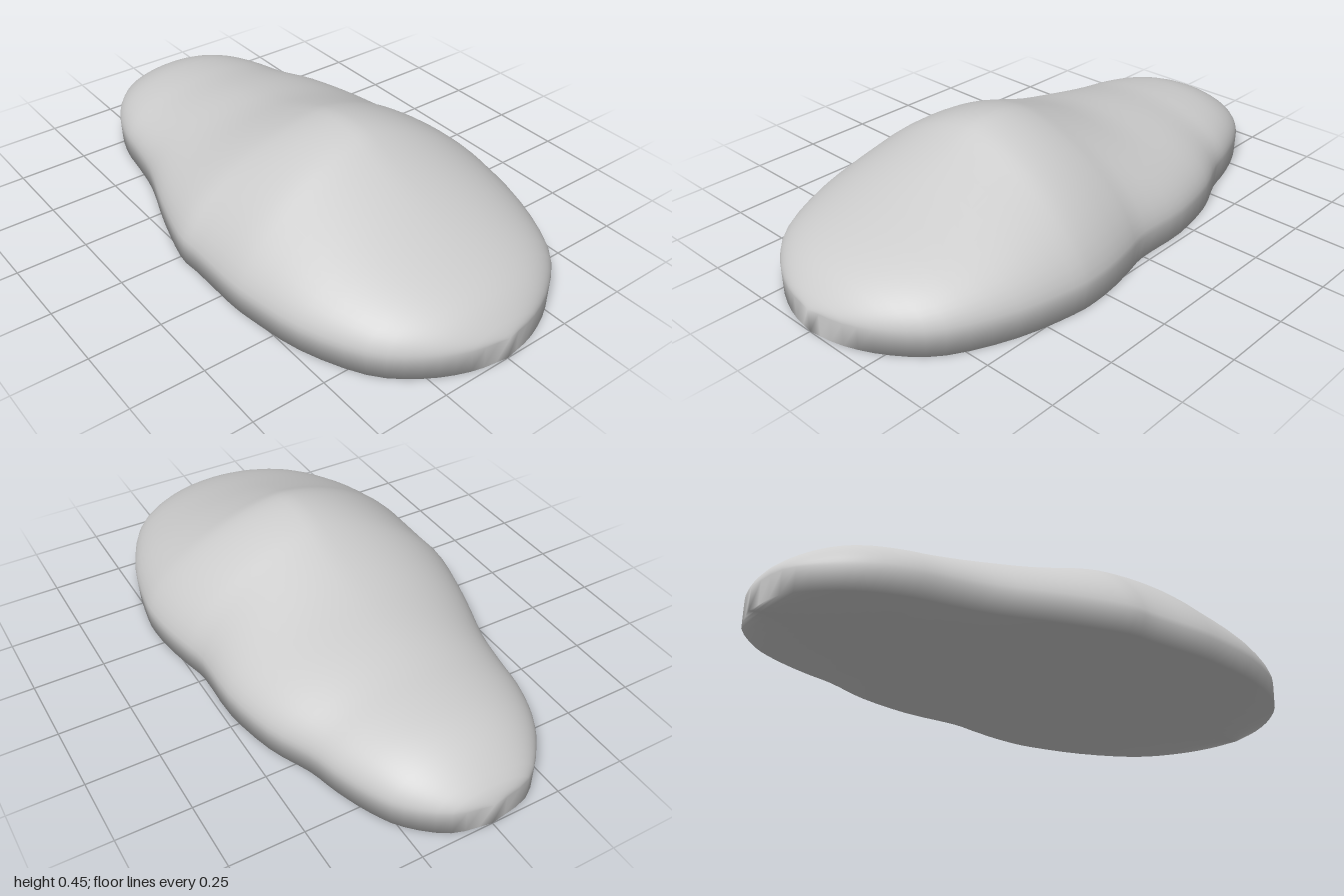
import * as THREE from 'three';

// Cross-sections from back to front: z, extent towards -x, extent towards +x, crest height
const SECTIONS = [
  [-1, 0, 0, 0.08], [-0.97, 0.15, 0.13, 0.13], [-0.88, 0.25, 0.24, 0.195],
  [-0.78, 0.315, 0.3, 0.235], [-0.66, 0.357, 0.345, 0.255], [-0.55, 0.375, 0.375, 0.268],
  [-0.4, 0.405, 0.44, 0.295], [-0.2, 0.475, 0.48, 0.33], [0, 0.53, 0.48, 0.4],
  [0.1, 0.53, 0.5, 0.435], [0.2, 0.53, 0.52, 0.45], [0.3, 0.53, 0.53, 0.44],
  [0.4, 0.52, 0.525, 0.395], [0.6, 0.48, 0.48, 0.31], [0.8, 0.385, 0.385, 0.235],
  [0.91, 0.265, 0.265, 0.18], [0.975, 0.13, 0.13, 0.12], [1, 0, 0, 0.08],
];
const RIM = 0.08; // height of the upright band around the base

function spline(pick) {
  return new THREE.CatmullRomCurve3(SECTIONS.map(pick), false, 'catmullrom', 0.5);
}

function stoneGeometry() {
  const shape = spline(([, l, r, h]) => new THREE.Vector3(l, r, h));
  const along = spline(([z]) => new THREE.Vector3(z, 0, 0));
  const rows = (SECTIONS.length - 1) * 3, arc = 32;
  const ring = arc + 4; // dome points, two foot points, one underside point
  const positions = [], index = [];

  for (let i = 0; i <= rows; i++) {
    const s = shape.getPoint(i / rows), z = along.getPoint(i / rows).x;
    const left = Math.max(s.x, 0), right = Math.max(s.y, 0), h = s.z;
    // tall sections are more pointed, low ones rounder
    const power = THREE.MathUtils.clamp(2 - (h - 0.25) * 2, 1.6, 2);
    positions.push(right * 0.99, 0, z);
    for (let j = 0; j <= arc; j++) {
      const a = (j / arc) * Math.PI, c = Math.cos(a);
      const x = Math.pow(Math.abs(c), 2 / power) * (c > 0 ? right : -left);
      const y = RIM + (h - RIM) * Math.pow(Math.max(Math.sin(a), 0), 2 / power);
      positions.push(x, y, z);
    }
    positions.push(-left * 0.99, 0, z);
    positions.push((right - left) / 2, 0, z);
  }

  // skin neighbouring rings, underside included
  for (let i = 0; i < rows; i++) {
    for (let j = 0; j < ring; j++) {
      const k = (j + 1) % ring;
      const a = i * ring + j, b = i * ring + k, c = a + ring, d = b + ring;
      index.push(a, b, c, b, d, c);
    }
  }

  const geometry = new THREE.BufferGeometry();
  geometry.setAttribute('position', new THREE.Float32BufferAttribute(positions, 3));
  geometry.setIndex(index);
  geometry.computeVertexNormals();
  // the end points collapse to a vertical line: give them clean outward normals
  const n = geometry.attributes.normal;
  for (let j = 0; j < ring; j++) {
    const foot = j === 0 || j >= ring - 2;
    const v = new THREE.Vector3(0, foot ? -0.8 : 0.3, 1).normalize();
    n.setXYZ(j, 0, v.y, -v.z);
    n.setXYZ(rows * ring + j, 0, v.y, v.z);
  }
  return geometry;
}

export function createModel() {
  const group = new THREE.Group();
  const stoneGrey = new THREE.MeshStandardMaterial({ color: 0xcccccc });
  stoneGrey.name = 'stone grey';
  const stone = new THREE.Mesh(stoneGeometry(), stoneGrey);
  stone.name = 'stone';
  group.add(stone);
  return group;
}
